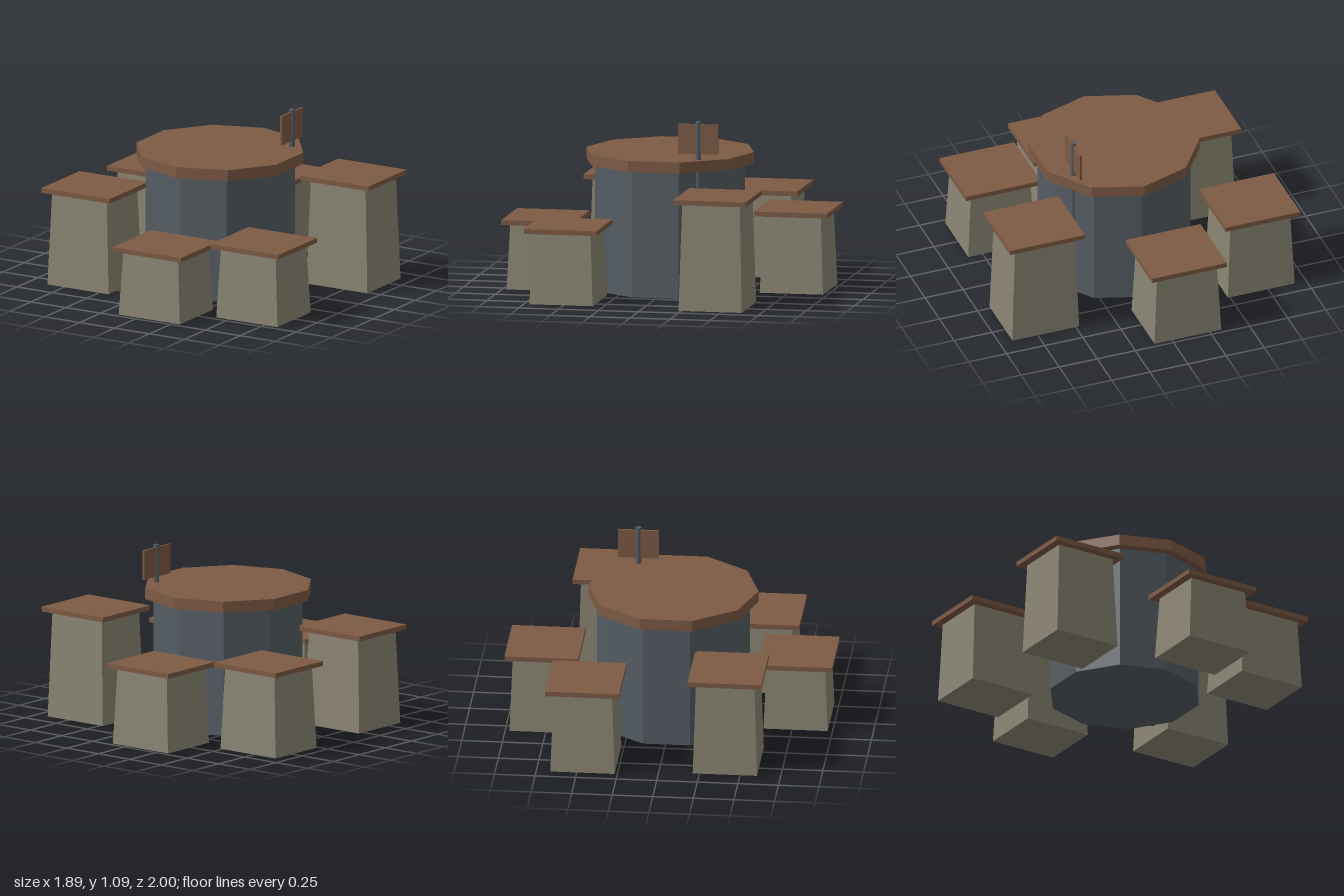
import * as THREE from 'three';

const mat = (color) => new THREE.MeshStandardMaterial({ color, flatShading: true });
const wood = mat(0x7d5a44);
const slate = mat(0x555d63);
const stone = mat(0x8a8573);

function add(parent, name, geometry, material, x, y, z) {
  const mesh = new THREE.Mesh(geometry, material);
  mesh.name = name;
  mesh.position.set(x, y, z);
  parent.add(mesh);
  return mesh;
}

// Box standing on y = 0 that narrows towards its top
function taperedBlock(width, depth, height, topX, topZ) {
  const geometry = new THREE.BoxGeometry(width, height, depth).translate(0, height / 2, 0);
  const p = geometry.attributes.position;
  for (let i = 0; i < p.count; i++) {
    if (p.getY(i) > height / 2) p.setXYZ(i, p.getX(i) * topX, height, p.getZ(i) * topZ);
  }
  geometry.computeVertexNormals();
  return geometry;
}

// Stool: tapered stone block under an overhanging wooden slab
function stool(x, z, top) {
  const group = new THREE.Group();
  group.name = 'stool';
  const slab = 0.03;
  add(group, 'stoolBase', taperedBlock(0.438, 0.396, top - slab, 0.895, 0.91), stone, 0, 0, 0);
  add(group, 'stoolSeat', new THREE.BoxGeometry(0.49, slab, 0.455), wood, 0, top - slab / 2, 0);
  group.position.set(x, 0, z);
  return group;
}

export function createModel() {
  const model = new THREE.Group();
  model.name = 'tableWithStools';

  // Ten-sided table
  add(model, 'tableBase', new THREE.CylinderGeometry(0.47, 0.47, 0.785, 10), slate, 0.006, 0.3925, 0.006);
  add(model, 'tableTop', new THREE.CylinderGeometry(0.525, 0.525, 0.07, 10), wood, 0.006, 0.82, 0.006);

  // Sign on a post set into the table's side
  add(model, 'signPost', new THREE.CylinderGeometry(0.018, 0.018, 1.092, 8), slate, 0.37, 0.546, -0.245);
  add(model, 'signBoard', new THREE.BoxGeometry(0.014, 0.184, 0.252), wood, 0.368, 0.983, -0.245);

  // Stools around the table: x, z, height
  const stools = [
    [-0.105, -0.775, 0.507],
    [-0.705, -0.465, 0.543],
    [0.697, -0.432, 0.69],
    [-0.65, 0.407, 0.617],
    [0.625, 0.517, 0.47],
    [0.08, 0.772, 0.433],
  ];
  for (const [x, z, top] of stools) model.add(stool(x, z, top));

  return model;
}
